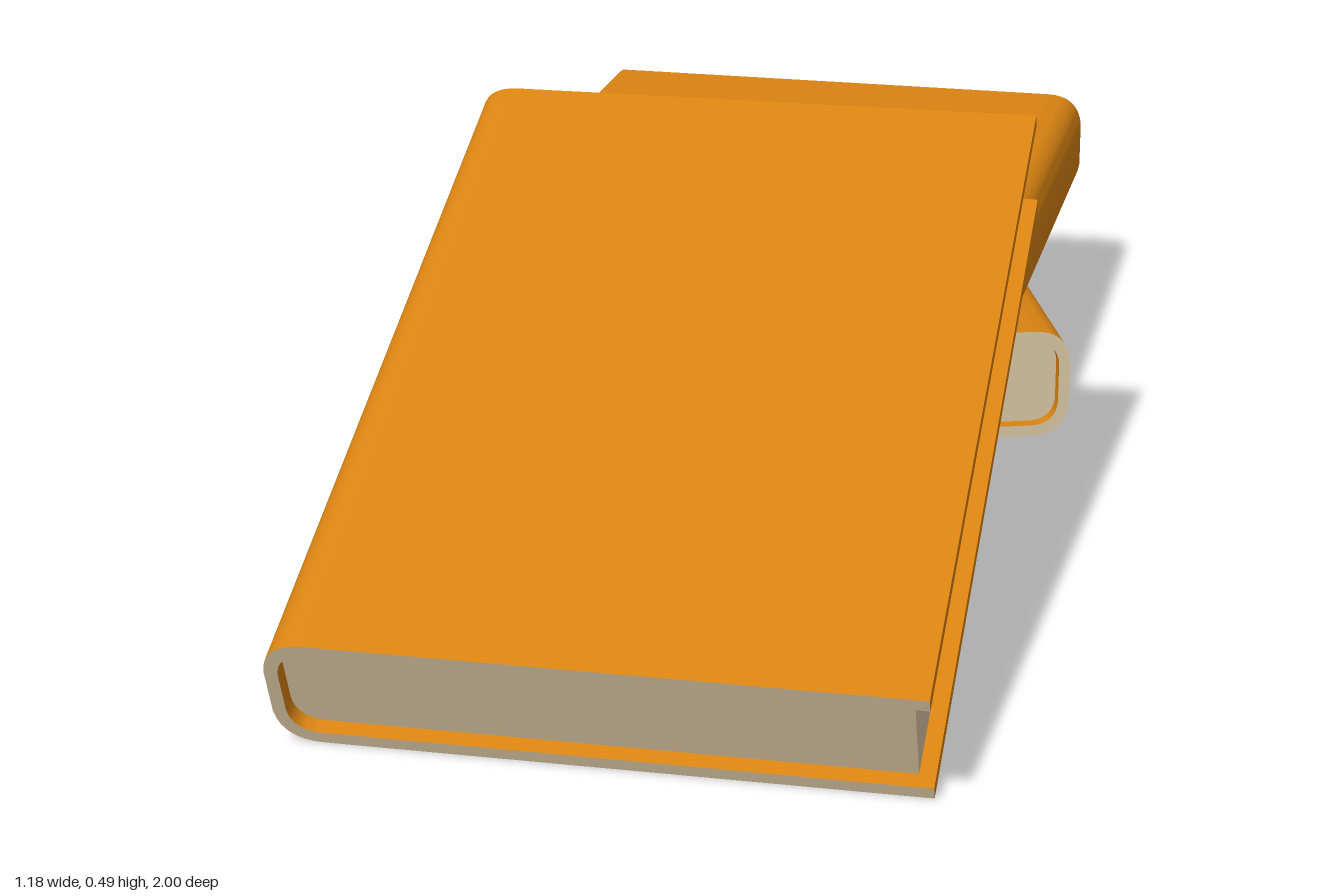
import * as THREE from 'three';
import { toCreasedNormals } from 'three/addons/utils/BufferGeometryUtils.js';

const WIDTH = 0.7, LENGTH = 0.96, THICK = 0.146;
const BOARD = 0.015, OVERHANG = 0.018;

// Traces a profile from the fore edge, round the spine (+x) and back; dir 1 is bottom to top
function traceSpine(path, fore, spine, half, radius, dir) {
  path.lineTo(fore, -half * dir);
  path.lineTo(spine - radius, -half * dir);
  path.quadraticCurveTo(spine - radius * 0.1, -half * dir, spine, -(half - radius * 0.85) * dir);
  path.lineTo(spine, (half - radius * 0.85) * dir);
  path.quadraticCurveTo(spine - radius * 0.1, half * dir, spine - radius, half * dir);
  path.lineTo(fore, half * dir);
}

function extrude(shape, length) {
  const geometry = new THREE.ExtrudeGeometry(shape, { depth: length, bevelEnabled: false, curveSegments: 8 });
  geometry.translate(0, 0, -length / 2);
  return toCreasedNormals(geometry, 0.6);
}

export function createModel() {
  const coverOrange = new THREE.MeshStandardMaterial({ color: 0xd98312 });
  coverOrange.name = 'cover orange';
  const paperBeige = new THREE.MeshStandardMaterial({ color: 0xdcc8a4 });
  paperBeige.name = 'paper beige';

  // Wrapped cover: two boards joined by a rounded spine
  const w = WIDTH / 2, t = THICK / 2;
  const coverShape = new THREE.Shape();
  coverShape.moveTo(-w, -t);
  traceSpine(coverShape, -w, w, t, 0.05, 1);
  traceSpine(coverShape, -w, w - BOARD, t - BOARD, 0.036, -1);
  const coverGeometry = extrude(coverShape, LENGTH);

  // Page block, set back from the board edges
  const pageShape = new THREE.Shape();
  pageShape.moveTo(-w + OVERHANG, -t + BOARD);
  traceSpine(pageShape, -w + OVERHANG, w - BOARD, t - BOARD, 0.036, 1);
  const pageGeometry = extrude(pageShape, LENGTH - 2 * OVERHANG);

  const model = new THREE.Group();
  model.name = 'bookPile';

  function addBook(name, position, pitch, yaw, roll) {
    const book = new THREE.Group();
    book.name = name;
    const cover = new THREE.Mesh(coverGeometry, [paperBeige, coverOrange]);
    cover.name = 'cover';
    const pages = new THREE.Mesh(pageGeometry, paperBeige);
    pages.name = 'pages';
    book.add(cover, pages);
    book.position.set(...position);
    book.rotation.set(pitch, yaw, roll, 'YXZ');
    model.add(book);
  }

  addBook('bottomBook', [0.097, 0.073, -0.52], 0, 0, 0);
  addBook('middleBook', [0.1, 0.223, -0.305], 0, -0.342, 0);
  // Leaning book, turned over so its spine faces the other way
  addBook('leaningBook', [-0.113, 0.247, 0.44], 0.382, -0.315, Math.PI);

  return model;
}
